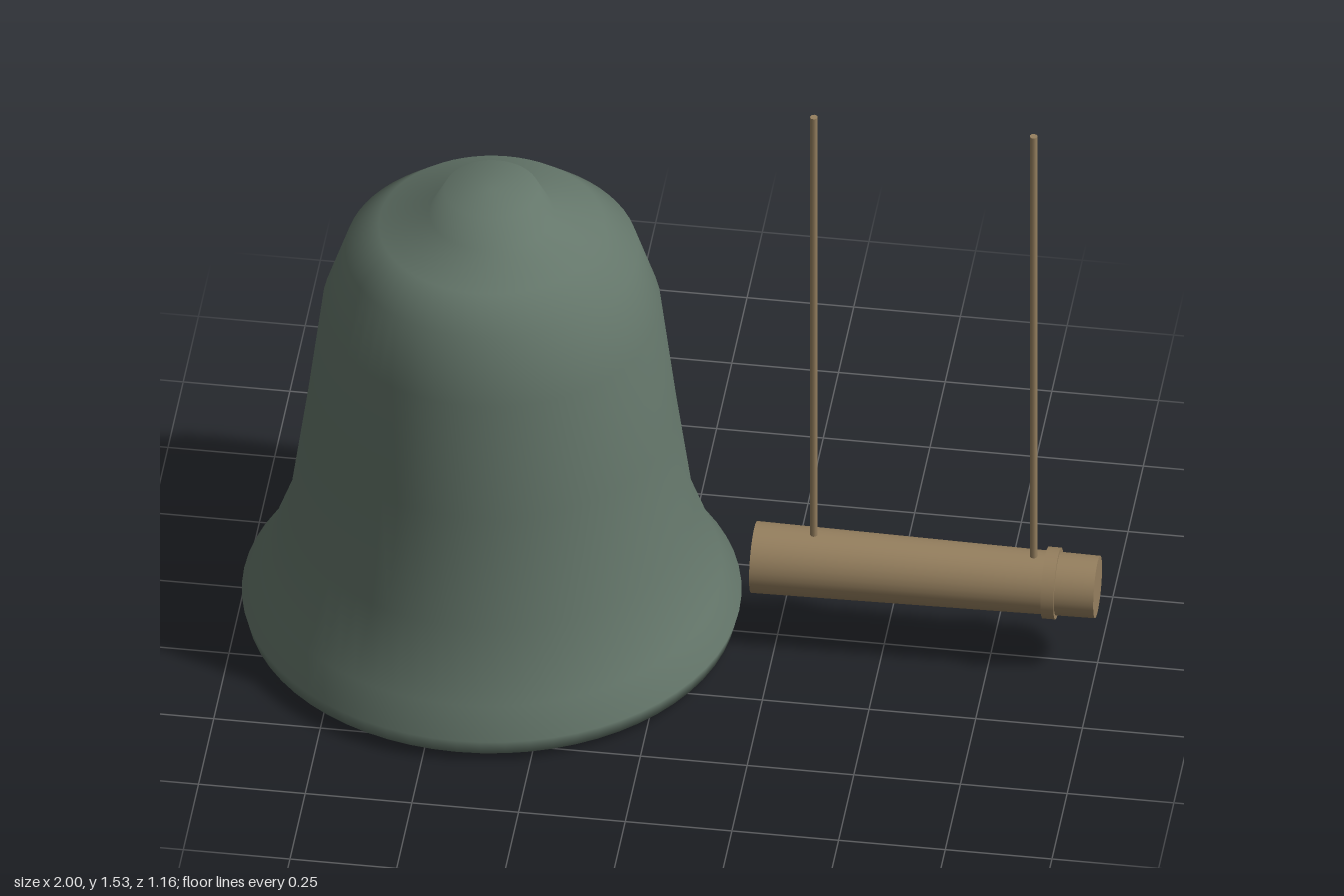
import * as THREE from 'three';

const bronze = new THREE.MeshStandardMaterial({ color: 0x64766a });
bronze.name = 'agedBronze';
bronze.side = THREE.DoubleSide;
const wood = new THREE.MeshStandardMaterial({ color: 0x96805f });
wood.name = 'wood';

function add(parent, name, geometry, material, x, y, z = 0) {
  const mesh = new THREE.Mesh(geometry, material);
  mesh.name = name;
  mesh.position.set(x, y, z);
  parent.add(mesh);
  return mesh;
}

export function createModel() {
  const model = new THREE.Group();
  model.name = 'templeBell';

  // Hollow bell: inside roof and wall, lip, outer wall, crown
  const profile = [
    [0, 1.06], [0.2, 1.04], [0.29, 0.98], [0.33, 0.86], [0.365, 0.58],
    [0.39, 0.3], [0.4, 0.02], [0.47, 0], [0.57, 0.02], [0.58, 0.06],
    [0.535, 0.13], [0.47, 0.31], [0.43, 0.6], [0.393, 0.9], [0.34, 1.06],
    [0.262, 1.13], [0.145, 1.167], [0.11, 1.235], [0, 1.235],
  ].map(([r, y]) => new THREE.Vector2(r, y));
  add(model, 'bell', new THREE.LatheGeometry(profile, 64), bronze, -0.42, 0);

  // Striking log, thinner toward its outer end
  const striker = new THREE.Group();
  striker.name = 'striker';
  model.add(striker);
  const logY = 0.222;
  const log = add(striker, 'log', new THREE.CylinderGeometry(0.084, 0.073, 0.805, 32), wood, 0.5975, logY);
  log.rotation.z = Math.PI / 2;
  const band = add(striker, 'band', new THREE.CylinderGeometry(0.084, 0.084, 0.03, 32), wood, 0.893, logY);
  band.rotation.z = Math.PI / 2;

  // Hanging ropes
  for (const x of [0.335, 0.85]) {
    add(striker, 'rope', new THREE.CylinderGeometry(0.009, 0.009, 1.25, 10), wood, x, 0.905);
  }
  return model;
}
